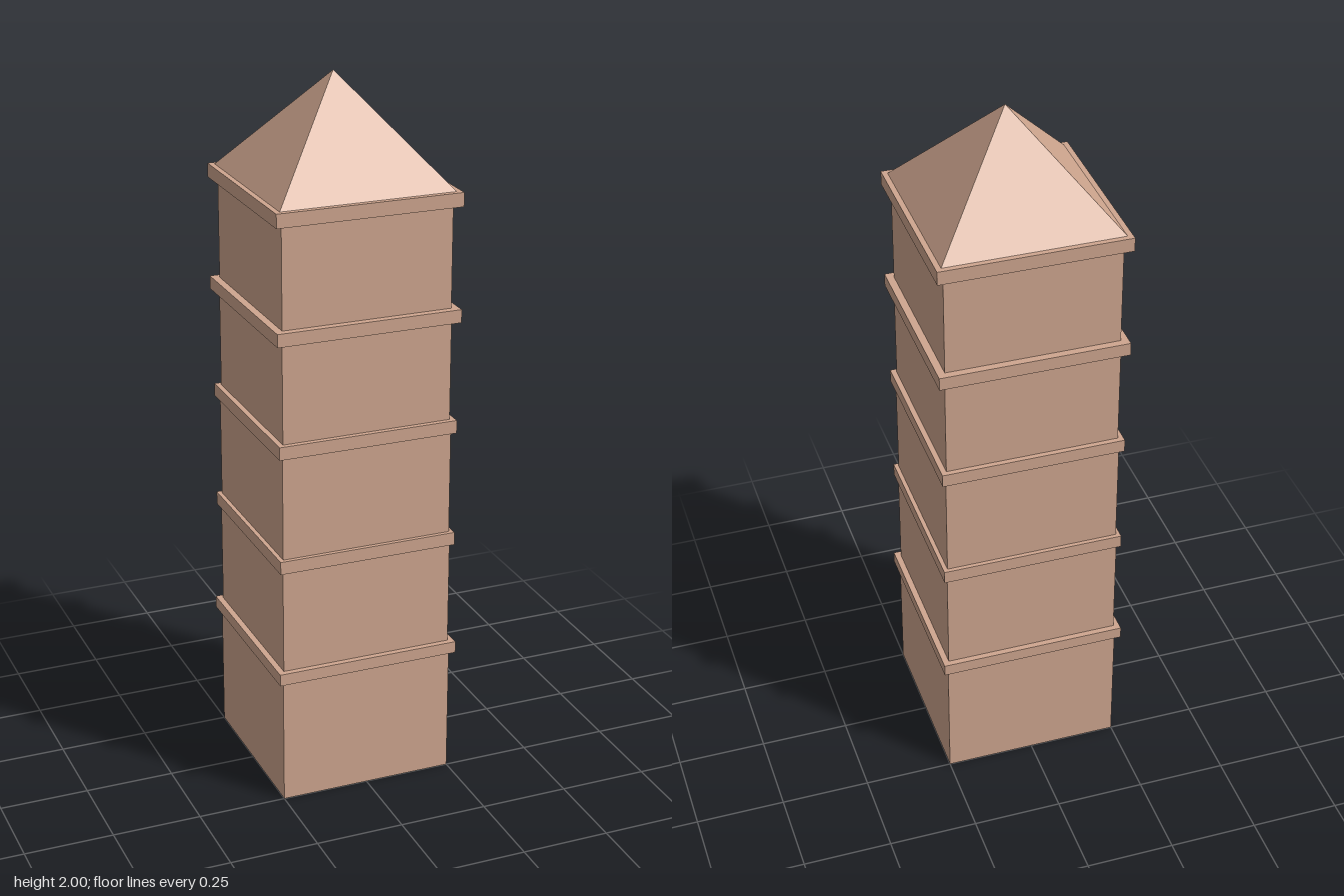
import * as THREE from 'three';

export function createModel() {
  const tower = new THREE.Group();
  tower.name = 'tower';
  const clay = new THREE.MeshStandardMaterial({ color: 0xcfa68f, flatShading: true });
  clay.name = 'clay';

  // Square slab of a given half width between two heights
  const addBlock = (name, half, y0, y1) => {
    const mesh = new THREE.Mesh(new THREE.BoxGeometry(half * 2, y1 - y0, half * 2), clay);
    mesh.position.y = (y0 + y1) / 2;
    mesh.name = name;
    tower.add(mesh);
  };

  // Storeys taper slightly upward, each capped by a projecting ledge:
  // [wall half width, ledge half width, ledge bottom, ledge top]
  const storeys = [
    [0.25, 0.264, 0.366, 0.4],
    [0.247, 0.257, 0.699, 0.736],
    [0.245, 0.257, 1.032, 1.069],
    [0.242, 0.262, 1.35, 1.387],
    [0.241, 0.262, 1.67, 1.709],
  ];
  let floor = 0;
  storeys.forEach(([wall, ledge, bottom, top], i) => {
    addBlock(`storey${i + 1}`, wall, floor, bottom);
    addBlock(`ledge${i + 1}`, ledge, bottom, top);
    floor = top;
  });

  // Pyramid roof
  const height = 2 - floor;
  const roofGeometry = new THREE.ConeGeometry(0.247 * Math.SQRT2, height, 4);
  roofGeometry.rotateY(Math.PI / 4);
  const roof = new THREE.Mesh(roofGeometry, clay);
  roof.position.y = floor + height / 2;
  roof.name = 'roof';
  tower.add(roof);

  return tower;
}
